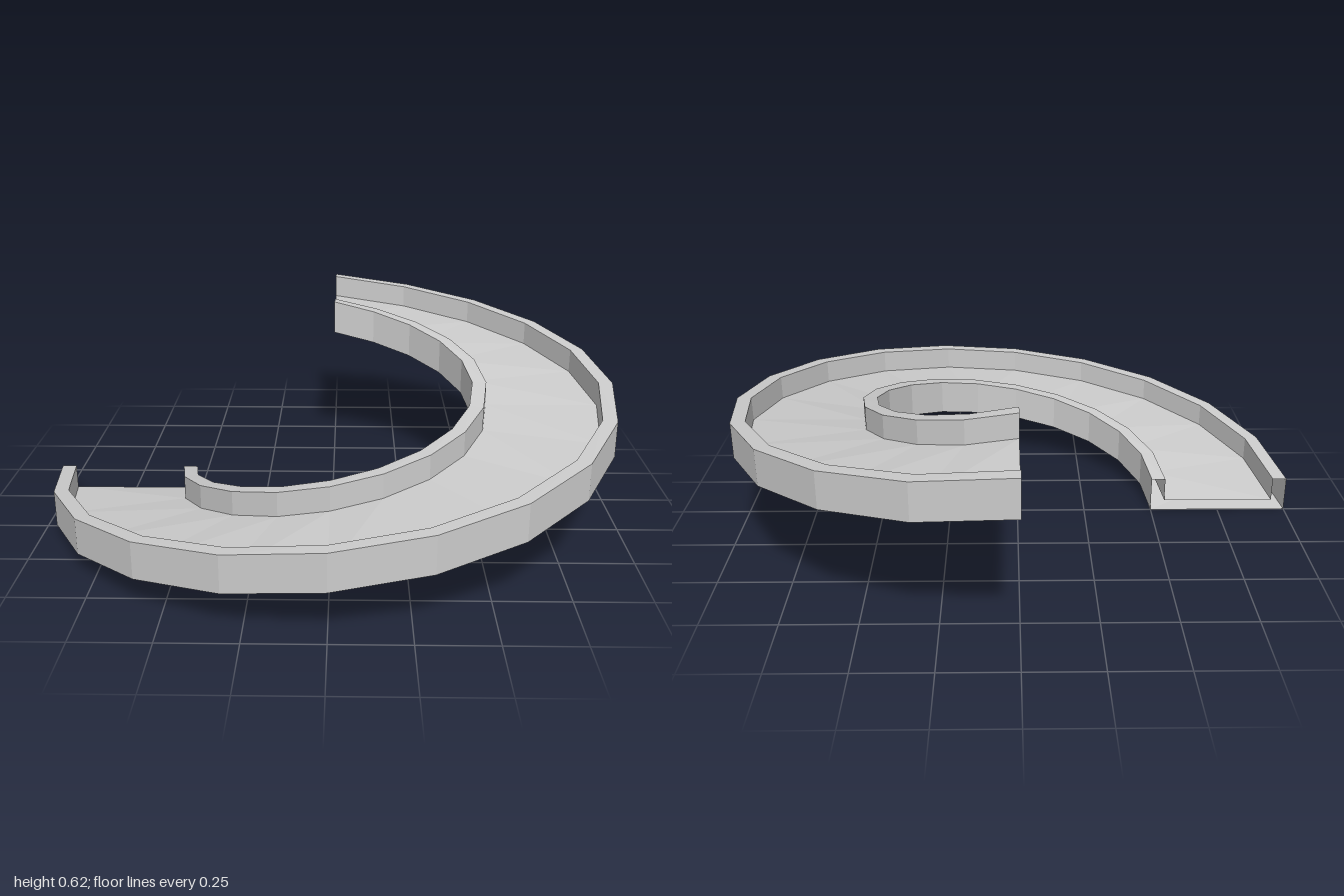
import * as THREE from 'three';

const SEGMENTS = 15;
const SWEEP = Math.PI * 1.5;
const RISE = 0.5;

// Point on the helix for a profile point [radius, height] at step i
function helixPoint([radius, height], i) {
  const t = (i / SEGMENTS) * SWEEP;
  return [-Math.cos(t) * radius, height + (i / SEGMENTS) * RISE, Math.sin(t) * radius];
}

// Sweeps open profile lines along the helix as faceted strips
function sweep(name, lines, material) {
  const positions = [];
  for (const line of lines) {
    for (let k = 0; k < line.length - 1; k++) {
      for (let i = 0; i < SEGMENTS; i++) {
        const a0 = helixPoint(line[k], i);
        const a1 = helixPoint(line[k], i + 1);
        const b0 = helixPoint(line[k + 1], i);
        const b1 = helixPoint(line[k + 1], i + 1);
        positions.push(...a0, ...a1, ...b1, ...a0, ...b1, ...b0);
      }
    }
  }
  const geometry = new THREE.BufferGeometry();
  geometry.setAttribute('position', new THREE.Float32BufferAttribute(positions, 3));
  geometry.computeVertexNormals();
  const mesh = new THREE.Mesh(geometry, material);
  mesh.name = name;
  return mesh;
}

export function createModel() {
  const group = new THREE.Group();
  group.name = 'spiralTrough';
  const material = new THREE.MeshStandardMaterial({
    color: 0xcccccc, flatShading: true, side: THREE.DoubleSide,
  });
  const inner = 0.5, outer = 1, wall = 0.05, wallTop = 0.125, floorTop = 0.04;

  // Hollow shell, open at both ends
  group.add(
    sweep('outerWall', [[
      [outer, 0], [outer, wallTop], [outer - wall, wallTop], [outer - wall, floorTop],
    ]], material),
    sweep('rampFloor', [
      [[outer - wall, floorTop], [inner + wall, floorTop]],
      [[inner, 0], [outer, 0]],
    ], material),
    sweep('innerWall', [[
      [inner + wall, floorTop], [inner + wall, wallTop], [inner, wallTop], [inner, 0],
    ]], material),
  );
  return group;
}
